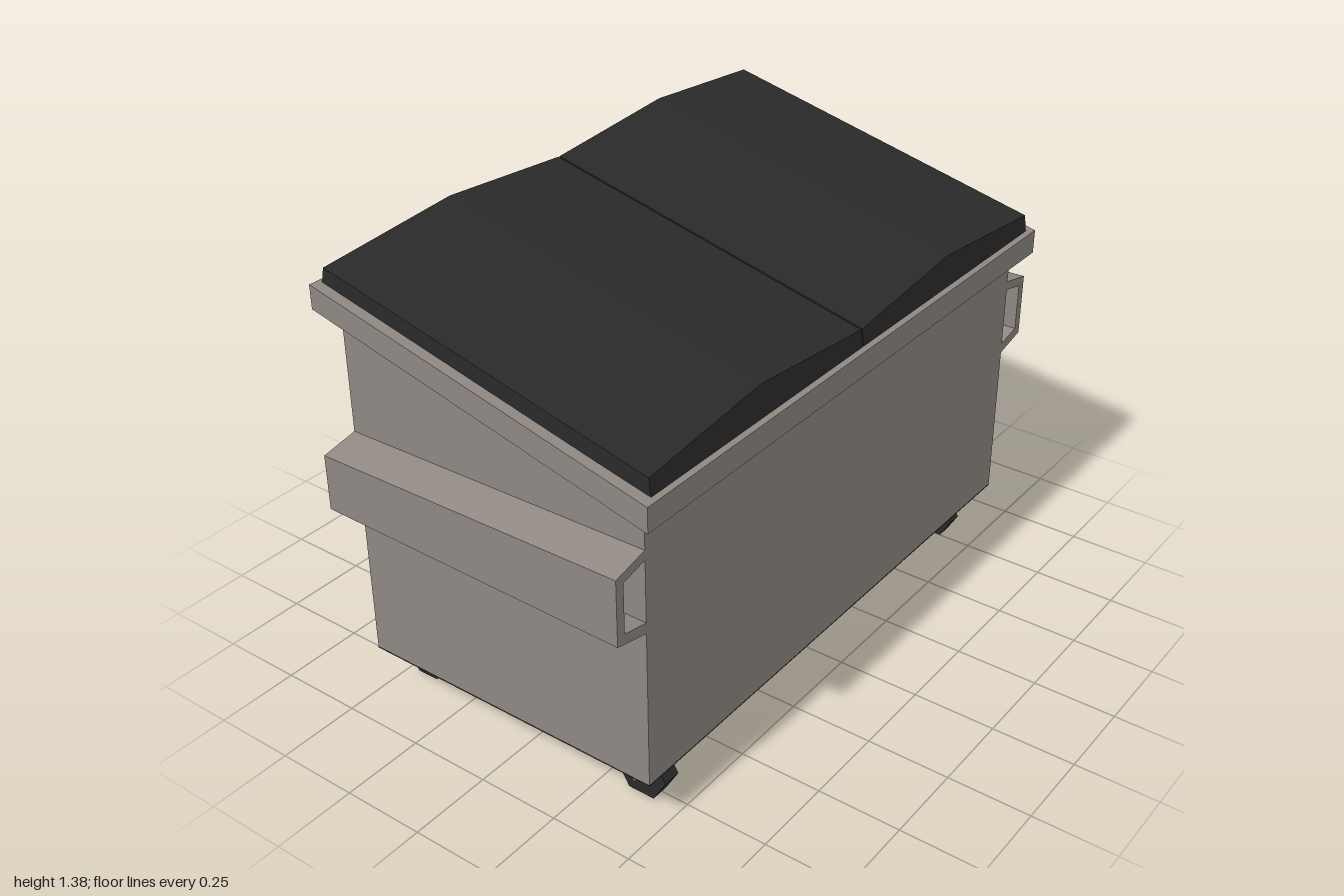
import * as THREE from 'three';

const steel = new THREE.MeshStandardMaterial({ color: 0x8f8883 });
steel.name = 'grey steel';
const plastic = new THREE.MeshStandardMaterial({ color: 0x2a2a2a });
plastic.name = 'black plastic';

function addMesh(parent, name, geometry, material) {
  const mesh = new THREE.Mesh(geometry, material);
  mesh.name = name;
  parent.add(mesh);
  return mesh;
}

function extrude(points, depth) {
  const shape = new THREE.Shape(points.map(([x, y]) => new THREE.Vector2(x, y)));
  return new THREE.ExtrudeGeometry(shape, { depth, bevelEnabled: false });
}

// Side profile of [z, y] points, extruded from x0 to x1
function extrudeX(points, x0, x1) {
  return extrude(points.map(([z, y]) => [-z, y]), x1 - x0)
    .rotateY(Math.PI / 2).translate(x0, 0, 0);
}

// Move every vertex by a rule, then refresh the flat normals
function reshape(geometry, rule) {
  const p = geometry.attributes.position;
  const v = new THREE.Vector3();
  for (let i = 0; i < p.count; i++) {
    rule(v.fromBufferAttribute(p, i));
    p.setXYZ(i, v.x, v.y, v.z);
  }
  geometry.computeVertexNormals();
  return geometry;
}

// One lid half with a shallow ridge, sloping down to the front
function lidGeometry(x0, x1) {
  const mid = (x0 + x1) / 2;
  const section = [[x0, 0], [x1, 0], [x1, 0.05], [mid, 0.09], [x0, 0.05]];
  return reshape(extrude(section, 1), (v) => {
    const h = v.y;
    const front = v.z > 0.5;
    v.y = h + (front ? 1.055 : 1.29);
    v.z = front ? 0.52 - h * 0.12 : -0.525 + h * 0.22;
  });
}

// Open channel on the side wall, narrowing slightly to the back
function pocketGeometry(side) {
  const section = [
    [0.885, 0.886], [1, 0.86], [1, 0.666], [0.885, 0.64],
    [0.885, 0.672], [0.972, 0.69], [0.972, 0.838], [0.885, 0.858],
  ].map(([x, y]) => [x * side, y]);
  return reshape(extrude(section, 0.97).translate(0, 0, -0.485), (v) => {
    if (v.z < 0) v.y = 0.763 + (v.y - 0.763) * 0.85;
  });
}

// Caster: six-sided wheel held by a slanted fork
function makeCaster(x, z, size, axleY) {
  const caster = new THREE.Group();
  caster.name = 'caster';
  const wheel = new THREE.CylinderGeometry(0.0825 * size, 0.0825 * size, 0.055 * size, 6)
    .rotateZ(Math.PI / 2).toNonIndexed();
  wheel.computeVertexNormals();
  addMesh(caster, 'wheel', wheel, plastic).position.set(x, axleY, z);

  const inner = 0.029 * size, outer = 0.0525 * size;
  const cheek = [
    [z + 0.068, 0.16], [z - 0.008, 0.16], [z - 0.014, axleY - 0.004],
    [z - 0.004, axleY - 0.016], [z + 0.008, axleY - 0.008],
  ];
  for (const s of [-1, 1]) {
    const a = x + s * inner, b = x + s * outer;
    addMesh(caster, 'forkCheek', extrudeX(cheek, Math.min(a, b), Math.max(a, b)), steel);
  }
  const crown = [[z + 0.068, 0.16], [z - 0.008, 0.16], [z - 0.008, 0.135], [z + 0.05, 0.135]];
  addMesh(caster, 'forkCrown', extrudeX(crown, x - inner, x + inner), steel);
  return caster;
}

export function createModel() {
  const model = new THREE.Group();
  model.name = 'wasteContainer';

  // Bin body with a sloping top and a dark floor
  addMesh(model, 'body', extrudeX(
    [[0.485, 0.16], [0.485, 1.0], [-0.485, 1.23], [-0.485, 0.16]], -0.89, 0.89), steel);
  addMesh(model, 'floor', new THREE.BoxGeometry(1.78, 0.005, 0.97).translate(0, 0.158, 0), plastic);

  // Rim band and the chamfer beneath it
  addMesh(model, 'rim', extrudeX(
    [[0.535, 0.977], [0.535, 1.05], [-0.535, 1.3], [-0.535, 1.231]], -0.94, 0.94), steel);
  addMesh(model, 'rimUnderside', reshape(new THREE.BoxGeometry(2, 2, 2), (v) => {
    const top = v.y > 0;
    const front = v.z > 0;
    v.x *= top ? 0.94 : 0.89;
    v.z *= top ? 0.535 : 0.485;
    v.y = top ? (front ? 0.978 : 1.232) : (front ? 0.975 : 1.208);
  }), steel);

  // Pair of lids with a narrow seam
  addMesh(model, 'rightLid', lidGeometry(-0.907, -0.003), plastic);
  addMesh(model, 'leftLid', lidGeometry(0.003, 0.907), plastic);

  // Lifting pockets
  addMesh(model, 'rightLiftPocket', pocketGeometry(-1), steel);
  addMesh(model, 'leftLiftPocket', pocketGeometry(1), steel);

  // Casters, the right front one larger
  model.add(
    makeCaster(-0.758, 0.373, 1, 0.0725),
    makeCaster(0.753, 0.373, 0.84, 0.077),
    makeCaster(-0.753, -0.418, 0.84, 0.077),
    makeCaster(0.753, -0.418, 0.84, 0.077),
  );
  return model;
}
